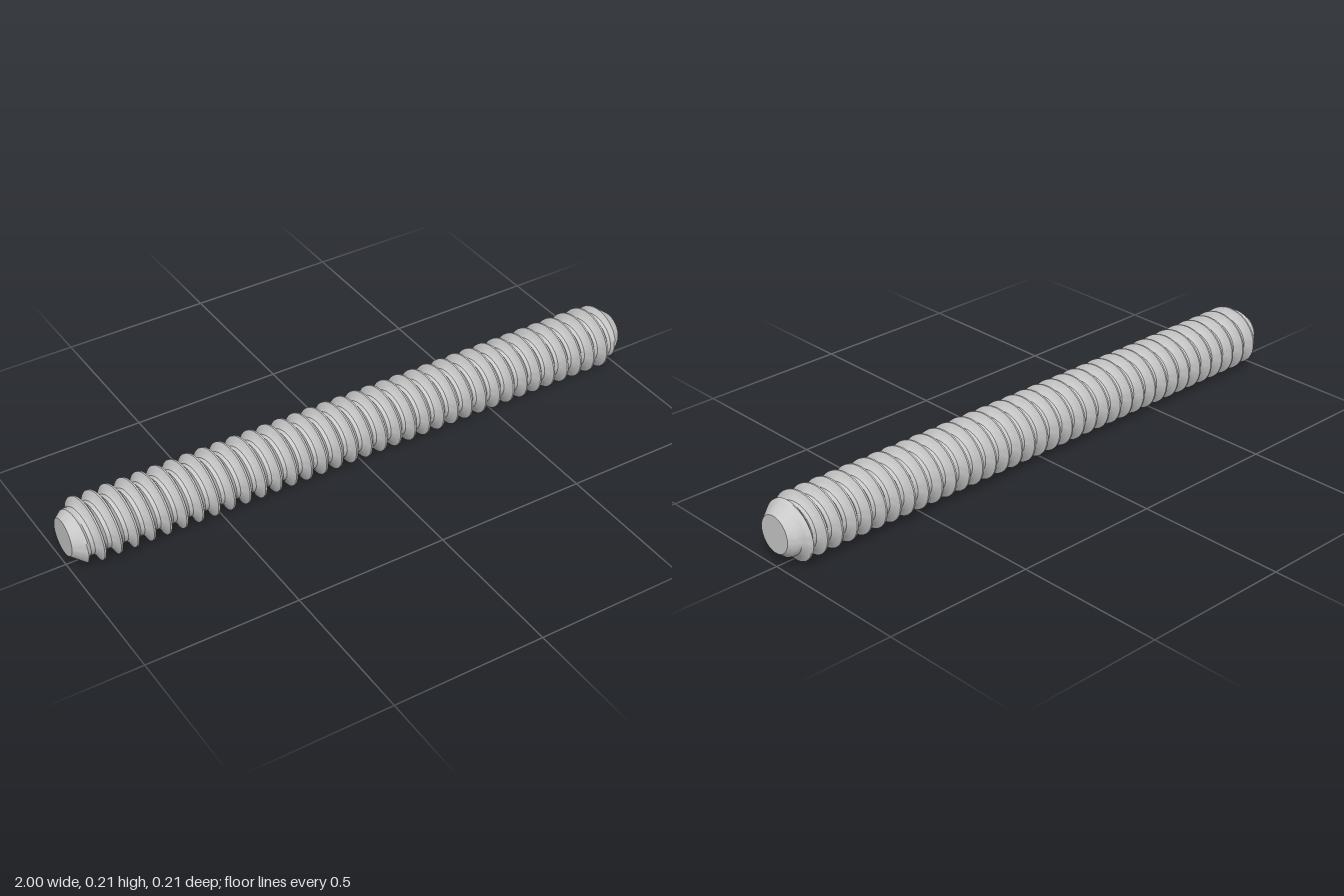
import * as THREE from 'three';
import { toCreasedNormals } from 'three/addons/utils/BufferGeometryUtils.js';

const HALF = 1, CREST = 0.105, ROOT = 0.079, PITCH = 0.054;
const END_RADIUS = 0.06, CHAMFER = 0.8, SIDES = 64;

// One thread pitch: [fraction of pitch, radius], flat crest and flat root
const MID = (CREST + ROOT) / 2;
const PROFILE = [
  [-0.05, CREST], [0.05, CREST], [0.13, CREST * 0.67 + ROOT * 0.33], [0.22, MID * 0.67 + ROOT * 0.33],
  [0.38, ROOT], [0.62, ROOT], [0.78, MID * 0.67 + ROOT * 0.33], [0.87, CREST * 0.67 + ROOT * 0.33],
];

// Right-hand thread: profile rows swept along a helix, cut by the end chamfers
function threadGeometry() {
  const rows = [];
  const turns = Math.ceil((2 * HALF) / PITCH) + 4;
  for (let k = 0; k < turns; k++) {
    for (const [t, r] of PROFILE) rows.push([-HALF + 0.07 + (k - 3 + t) * PITCH, r]);
  }
  const point = (i, j) => {
    const a = (j / SIDES) * Math.PI * 2;
    const x = THREE.MathUtils.clamp(rows[i][0] + (PITCH * j) / SIDES, -HALF, HALF);
    const r = Math.min(rows[i][1], END_RADIUS + CHAMFER * (HALF - Math.abs(x)));
    return new THREE.Vector3(x, r * Math.cos(a), r * Math.sin(a));
  };
  const positions = [];
  const triangle = new THREE.Triangle();
  const add = (a, b, c) => {
    triangle.set(a, b, c);
    if (triangle.getArea() > 1e-9) for (const p of [a, b, c]) positions.push(p.x, p.y, p.z);
  };
  for (let i = 0; i < rows.length - 1; i++) {
    for (let j = 0; j < SIDES; j++) {
      const a = point(i, j), b = point(i + 1, j), c = point(i + 1, j + 1), d = point(i, j + 1);
      add(a, c, b);
      add(a, d, c);
    }
  }
  const geometry = new THREE.BufferGeometry();
  geometry.setAttribute('position', new THREE.Float32BufferAttribute(positions, 3));
  return toCreasedNormals(geometry, 0.7);
}

export function createModel() {
  const group = new THREE.Group();
  group.name = 'threadedRod';
  const material = new THREE.MeshStandardMaterial({ color: 0xcccccc });

  const thread = new THREE.Mesh(threadGeometry(), material);
  thread.name = 'thread';
  thread.position.y = CREST;
  group.add(thread);

  // Flat end faces
  for (const side of [-1, 1]) {
    const end = new THREE.Mesh(new THREE.CircleGeometry(END_RADIUS, SIDES), material);
    end.name = side > 0 ? 'leftEnd' : 'rightEnd';
    end.position.set(side * HALF, CREST, 0);
    end.rotation.y = (side * Math.PI) / 2;
    group.add(end);
  }
  return group;
}
